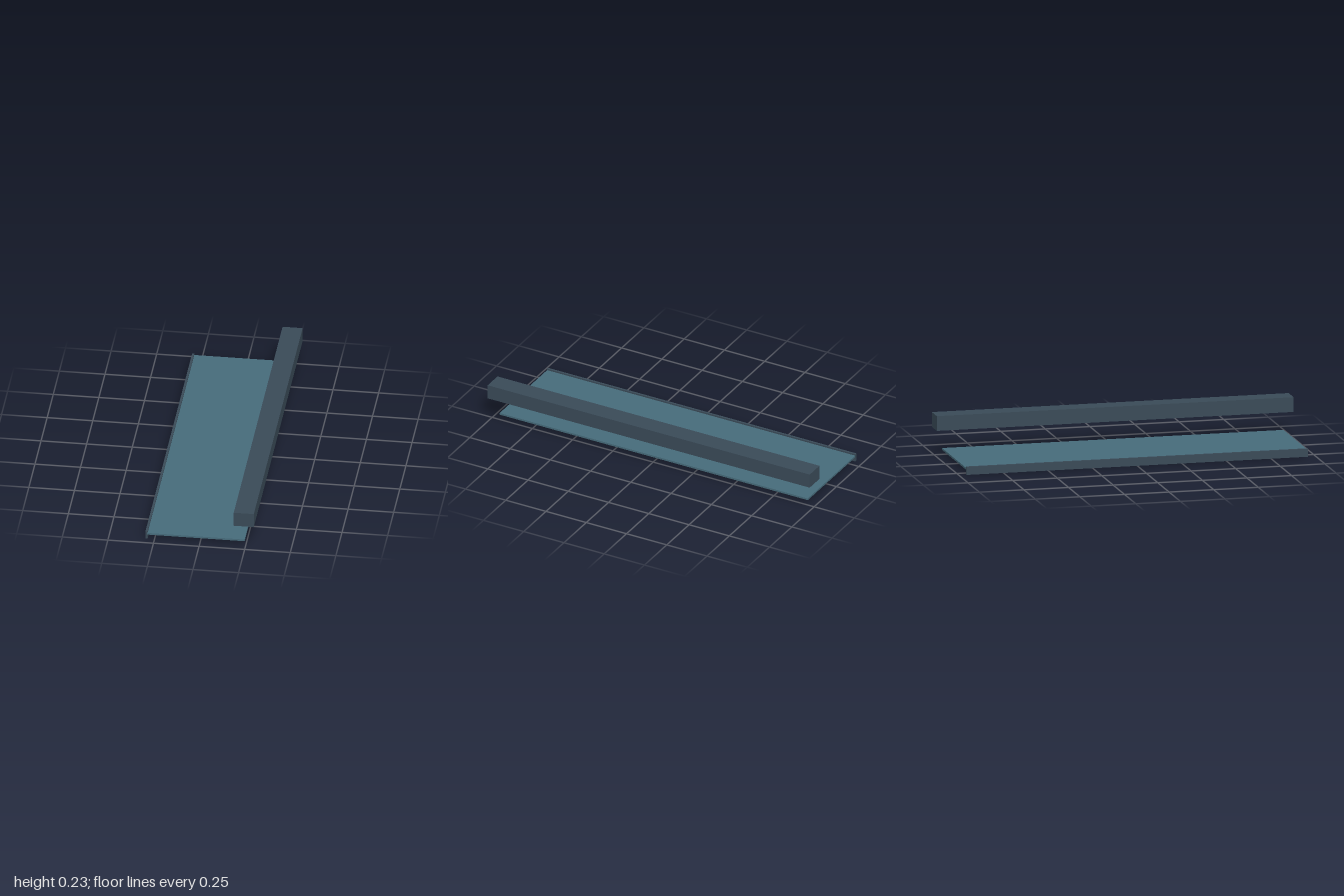
import * as THREE from 'three';

// Box given by its x range, y range and half length along z
function bar(name, color, [x0, x1], [y0, y1], halfLength) {
  const mesh = new THREE.Mesh(
    new THREE.BoxGeometry(x1 - x0, y1 - y0, halfLength * 2),
    new THREE.MeshStandardMaterial({ color })
  );
  mesh.position.set((x0 + x1) / 2, (y0 + y1) / 2, 0);
  mesh.name = name;
  return mesh;
}

export function createModel() {
  const dark = 0x394a57, fabric = 0x466b7a, amber = 0xc08a4a;
  const group = new THREE.Group();
  group.name = 'awning';
  group.add(
    // long case at the wall
    bar('housing', dark, [0.19, 0.3], [0.145, 0.227], 1),
    // light strip under the case
    bar('lightStrip', amber, [0.233, 0.256], [0.139, 0.146], 0.775),
    // flat extended sheet
    bar('canopySheet', fabric, [-0.29, 0.244], [0.026, 0.0365], 0.957),
    // rail along the outer edge of the sheet
    bar('frontRail', dark, [-0.3, -0.288], [0, 0.045], 0.957)
  );
  return group;
}
